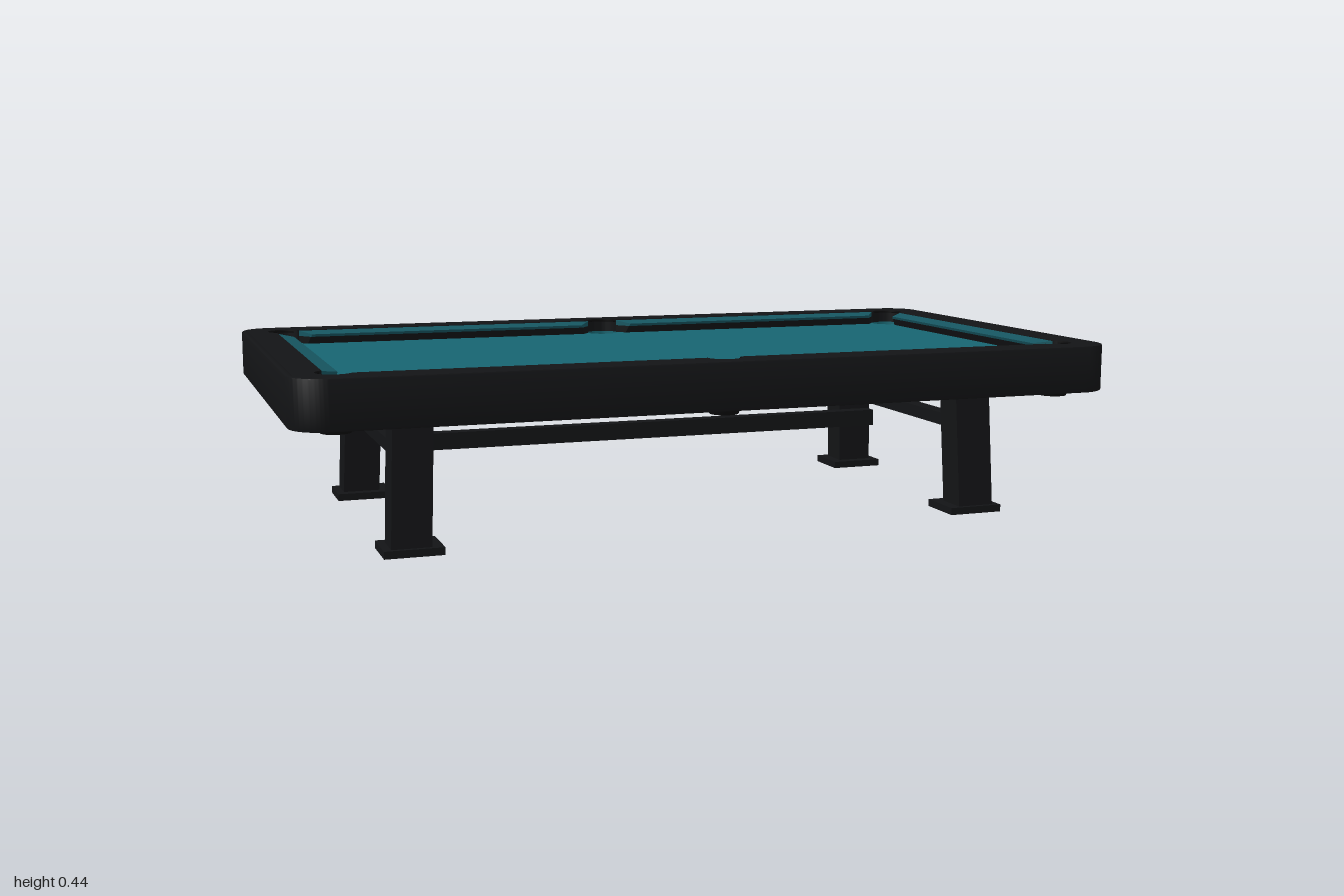
import * as THREE from 'three';
import { toCreasedNormals } from 'three/addons/utils/BufferGeometryUtils.js';

const mat = (color, side = THREE.FrontSide) => new THREE.MeshStandardMaterial({ color, side });
const black = mat(0x131416);
const pocketBlack = mat(0x0b0b0c, THREE.DoubleSide);
const felt = mat(0x176571);
const cushionFelt = mat(0x165661);
const gold = mat(0xc08a3a);

const HW = 0.915, HD = 0.475; // half size of the playing opening
const POCKET_R = 0.042;
// pocket signs in counterclockwise order
const POCKETS = [[1, 1], [0, 1], [-1, 1], [-1, -1], [0, -1], [1, -1]];
const pocketCentre = ([sx, sz]) => [sx * 0.893, sz * (sx ? 0.455 : 0.474)];

function add(parent, name, geometry, material, x = 0, y = 0, z = 0) {
  const mesh = new THREE.Mesh(geometry, material);
  mesh.name = name;
  mesh.position.set(x, y, z);
  parent.add(mesh);
  return mesh;
}

// rail opening: a rectangle whose pocket arcs bulge outward
function pocketOutline() {
  const path = new THREE.Path();
  for (const p of POCKETS) {
    const [sx, sz] = p;
    const [cx, cz] = pocketCentre(p);
    const reach = (d) => Math.sqrt(POCKET_R ** 2 - d ** 2);
    const s = reach(HD - Math.abs(cz));
    let a, b;
    if (sx) {
      a = [sx * HW, cz - sz * reach(HW - Math.abs(cx))];
      b = [cx - sx * s, sz * HD];
      if (sx * sz < 0) [a, b] = [b, a];
    } else {
      a = [sz * s, sz * HD];
      b = [-sz * s, sz * HD];
    }
    const angle = (q) => Math.atan2(q[1] - cz, q[0] - cx);
    path.absarc(cx, cz, POCKET_R, angle(a), angle(b), false);
  }
  path.closePath();
  return path;
}

// rounded rectangle concentric with the table edge, set in by the given amount
function tableOutline(inset, PathType = THREE.Shape) {
  const hw = 1 - inset, hd = 0.56 - inset, r = 0.08 - inset;
  const s = new PathType();
  s.absarc(hw - r, hd - r, r, 0, Math.PI / 2);
  s.absarc(-hw + r, hd - r, r, Math.PI / 2, Math.PI);
  s.absarc(-hw + r, -hd + r, r, Math.PI, Math.PI * 1.5);
  s.absarc(hw - r, -hd + r, r, Math.PI * 1.5, Math.PI * 2);
  s.closePath();
  return s;
}

// horizontal slab between two heights, with a small optional edge bevel
function slab(shape, bottom, top, bevel = 0) {
  const g = new THREE.ExtrudeGeometry(shape, {
    depth: top - bottom - 2 * bevel, bevelEnabled: bevel > 0, bevelThickness: bevel,
    bevelSize: bevel, bevelOffset: -bevel, bevelSegments: 2, curveSegments: 14,
  });
  g.rotateX(Math.PI / 2);
  g.translate(0, top - bevel, 0);
  return toCreasedNormals(g, 0.6);
}

// cushion section (inward distance, height) extruded, with ends mitred toward the nose
function cushionGeometry(points, length) {
  const shape = new THREE.Shape(points.map(([d, y]) => new THREE.Vector2(d, y)));
  const g = new THREE.ExtrudeGeometry(shape, { depth: length, bevelEnabled: false });
  g.translate(0, 0, -length / 2);
  const p = g.attributes.position;
  for (let i = 0; i < p.count; i++) {
    p.setZ(i, p.getZ(i) * (1 - (p.getX(i) * 0.75) / (length / 2)));
  }
  g.computeVertexNormals();
  return g;
}

// box leaning toward the table centre as it rises
function legGeometry(sx, sz) {
  const h = 0.326;
  const g = new THREE.BoxGeometry(0.094, h, 0.082);
  g.translate(0, h / 2, 0);
  const p = g.attributes.position;
  for (let i = 0; i < p.count; i++) {
    const t = p.getY(i) / h;
    p.setX(i, p.getX(i) - sx * 0.013 * t);
    p.setZ(i, p.getZ(i) - sz * 0.014 * t);
  }
  g.computeVertexNormals();
  return g;
}

export function createModel() {
  const table = new THREE.Group();
  table.name = 'poolTable';

  // thin outer apron
  const apron = tableOutline(0);
  apron.holes.push(tableOutline(0.018, THREE.Path));
  add(table, 'apron', slab(apron, 0.32, 0.435, 0.004), black);

  // top rail with the pocket-notched opening
  const rail = tableOutline(0.008);
  rail.holes.push(pocketOutline());
  add(table, 'topRail', slab(rail, 0.4, 0.4346), black);

  // felt-covered bed reaching out to the apron
  const bed = tableOutline(0.014);
  for (const p of POCKETS) {
    const [x, z] = pocketCentre(p);
    bed.holes.push(new THREE.Path().absarc(x, z, POCKET_R, 0, Math.PI * 2));
  }
  add(table, 'bed', slab(bed, 0.38, 0.4), felt);

  // cushions with a dark strip under each nose
  const nose = [[0, 0.419], [0.037, 0.419], [0.04, 0.426], [0, 0.433]];
  const under = [[0, 0.399], [0.026, 0.399], [0.036, 0.419], [0, 0.419]];
  const cushion = (x, z, turn, length) => {
    const group = new THREE.Group();
    group.name = 'cushion';
    group.position.set(x, 0, z);
    group.rotation.y = turn;
    add(group, 'cushionNose', cushionGeometry(nose, length), cushionFelt);
    add(group, 'cushionUnderside', cushionGeometry(under, length), black);
    table.add(group);
  };
  // dark backing under the rails, interrupted at the pockets
  const backing = (x, z, w, d) =>
    add(table, 'railBacking', new THREE.BoxGeometry(w, 0.012, d), black, x, 0.377, z);
  for (const s of [1, -1]) {
    cushion(s * HW, 0, s > 0 ? Math.PI : 0, 0.83);
    backing(s * 0.949, 0, 0.068, 0.78);
    for (const sx of [1, -1]) {
      cushion(sx * 0.447, s * HD, s * Math.PI / 2, 0.81);
      backing(sx * 0.447, s * 0.509, 0.76, 0.068);
    }
  }

  // pockets: hanging cup and a lip set into the rail
  const cup = toCreasedNormals(new THREE.LatheGeometry(
    [[0, 0.303], [0.034, 0.303], [0.041, 0.32], [0.046, 0.345], [0.046, 0.398]]
      .map(([r, y]) => new THREE.Vector2(r, y)), 24), 0.5);
  const lip = new THREE.TorusGeometry(0.043, 0.004, 6, 20, Math.PI);
  lip.rotateZ(-Math.PI / 2);
  lip.rotateX(Math.PI / 2);
  for (const p of POCKETS) {
    const [x, z] = pocketCentre(p);
    add(table, 'pocketCup', cup, pocketBlack, x, 0, z);
    const ring = add(table, 'pocketLip', lip, pocketBlack, x, 0.431, z);
    ring.rotation.y = -Math.atan2(p[1], p[0]);
  }

  // legs with foot plates and gold mounting caps
  for (const sx of [1, -1]) {
    for (const sz of [1, -1]) {
      const leg = new THREE.Group();
      leg.name = 'leg';
      leg.position.set(sx * 0.722, 0, sz * 0.35);
      add(leg, 'legPost', legGeometry(sx, sz), black, 0, 0.014, 0);
      add(leg, 'footPlate', new THREE.BoxGeometry(0.14, 0.018, 0.12), black, -sx * 0.005, 0.009, -sz * 0.008);
      add(leg, 'mountingCap', new THREE.BoxGeometry(0.126, 0.048, 0.112), gold, -sx * 0.013, 0.357, -sz * 0.014);
      table.add(leg);
    }
    // cross bar between the legs of one end
    add(table, 'crossBar', new THREE.BoxGeometry(0.04, 0.032, 0.506), black, sx * 0.716, 0.221, 0);
  }

  // long centre stretcher
  add(table, 'stretcher', new THREE.BoxGeometry(1.23, 0.042, 0.036), black, 0, 0.195, 0);
  return table;
}
